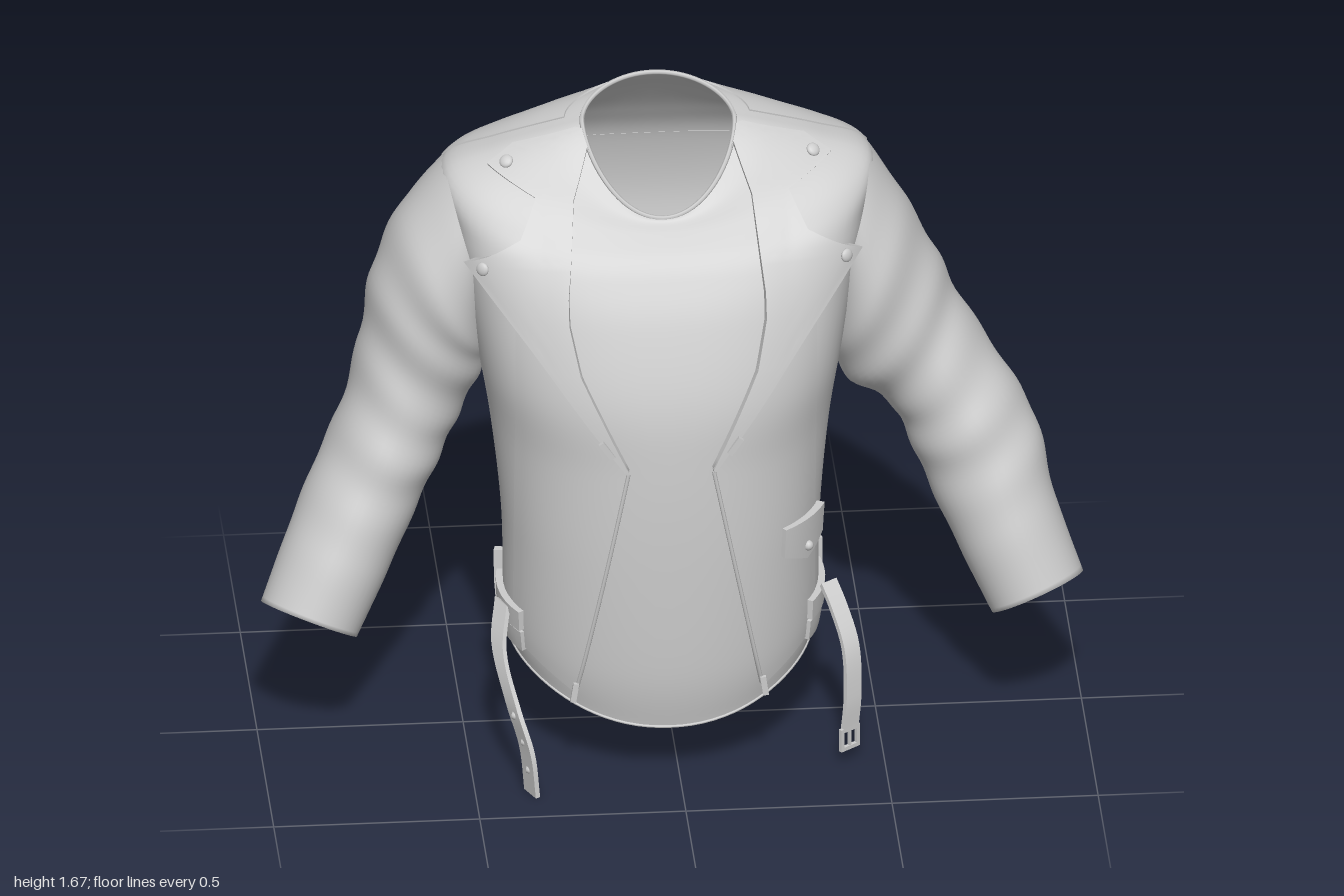
import * as THREE from 'three';
import { mergeVertices, toCreasedNormals } from 'three/addons/utils/BufferGeometryUtils.js';

const V = (x, y, z) => new THREE.Vector3(x, y, z);
const mat = new THREE.MeshStandardMaterial({ color: 0xcccccc, side: THREE.DoubleSide });
const CX = -0.025; // the garment hangs slightly off the centre line

function add(parent, name, geo) {
  const m = new THREE.Mesh(geo, mat);
  m.name = name;
  parent.add(m);
  return m;
}

// Surface from a rule giving a point for every (i, j)
function grid(nu, nv, fn, crease = 0) {
  const pos = [], idx = [];
  for (let j = 0; j <= nv; j++) for (let i = 0; i <= nu; i++) pos.push(...fn(i, j).toArray());
  for (let j = 0; j < nv; j++) for (let i = 0; i < nu; i++) {
    const a = j * (nu + 1) + i, b = a + 1, c = a + nu + 1, d = c + 1;
    idx.push(a, b, d, a, d, c);
  }
  let g = new THREE.BufferGeometry();
  g.setAttribute('position', new THREE.Float32BufferAttribute(pos, 3));
  g.setIndex(idx);
  g = mergeVertices(g, 1e-5);
  if (crease) return toCreasedNormals(g, crease);
  g.computeVertexNormals();
  return g;
}

// Smooth interpolation between rows of a table, t in 0..1
function rowAt(rows, t) {
  const f = Math.min(Math.max(t, 0), 1) * (rows.length - 1);
  const k = Math.min(Math.floor(f), rows.length - 2), s = f - k;
  const p0 = rows[Math.max(k - 1, 0)], p1 = rows[k], p2 = rows[k + 1], p3 = rows[Math.min(k + 2, rows.length - 1)];
  return p1.map((b, n) => {
    const a = p0[n], c = p2[n], d = p3[n];
    return b + 0.5 * s * (c - a + s * (2 * a - 5 * b + 4 * c - d + s * (3 * (b - c) + d - a)));
  });
}

// Torso rings from hem to neck: side y, front y, back y, half width, front z, back z, squareness
const TORSO = [
  [0.27, 0.15, 0.20, 0.365, 0.335, -0.255, 2.1],
  [0.36, 0.30, 0.33, 0.38, 0.36, -0.265, 2.1],
  [0.60, 0.60, 0.60, 0.385, 0.37, -0.28, 2.2],
  [0.85, 0.85, 0.85, 0.41, 0.365, -0.332, 2.2],
  [1.03, 1.02, 1.03, 0.44, 0.345, -0.377, 2.5],
  [1.22, 1.20, 1.22, 0.475, 0.285, -0.405, 2.7],
  [1.38, 1.31, 1.39, 0.505, 0.23, -0.38, 2.7],
  [1.495, 1.37, 1.49, 0.52, 0.19, -0.328, 2.2],
  [1.555, 1.41, 1.585, 0.4, 0.165, -0.255, 2],
  [1.60, 1.435, 1.64, 0.27, 0.15, -0.205, 2],
  [1.625, 1.44, 1.67, 0.185, 0.14, -0.18, 2],
];
const spow = (v, e) => Math.sign(v) * Math.abs(v) ** e;

// Angle 0 faces the front, a quarter turn faces +x; the upper back runs to a ridge at the spine
function torso(t, a) {
  const [ys, yf, yb, w, zf, zb, n] = rowAt(TORSO, t), c = Math.cos(a);
  const ridge = c > 0 ? 0 : Math.sin(Math.PI * t) ** 2, m = n + 0.4 * ridge;
  const depth = THREE.MathUtils.lerp(spow(c, 2 / m), spow(c, 2), 0.25 * ridge);
  return V(w * spow(Math.sin(a), 2 / m), ys + ((c > 0 ? yf : yb) - ys) * Math.abs(c) ** (2 - 0.6 * t),
    (zf + zb) / 2 + (zf - zb) / 2 * depth);
}

// Point on the torso at height y, lifted along the normal; angle is a function of t
function onTorso(angle, y, lift) {
  let lo = 0, hi = 0.999;
  for (let k = 0; k < 30; k++) {
    const t = (lo + hi) / 2;
    if (torso(t, angle(t)).y < y) lo = t; else hi = t;
  }
  const t = Math.min(Math.max(lo, 0.002), 0.998), a = angle(t), e = 0.002;
  const du = torso(t, a + e).sub(torso(t, a - e)), dv = torso(t + e, a).sub(torso(t - e, a));
  return torso(t, a).addScaledVector(du.cross(dv).normalize(), lift);
}
const byX = x => t => {
  const r = rowAt(TORSO, t);
  return Math.sign(x) * Math.asin(Math.min(1, Math.abs(x) / r[3]) ** (r[6] / 2));
};
const byAngle = a => () => a;

// Raised cloth piece with turned-down borders; rule(u, v) gives [angle, y, lift]
const patch = (nu, nv, rule) => grid(nu + 2, nv + 2, (i, j) => {
  const u = Math.min(Math.max(i - 1, 0), nu) / nu, v = Math.min(Math.max(j - 1, 0), nv) / nv;
  const [a, y, lift] = rule(u, v);
  return onTorso(a, y, i < 1 || j < 1 || i > nu + 1 || j > nv + 1 ? -0.001 : lift);
}, 0.7);
const band = (a0, a1, y0, y1, lift, n = 4) =>
  patch(n, 4, (u, v) => [byAngle(a0 + (a1 - a0) * u), y0 + (y1 - y0) * v, lift]);

const tube = (pts, r, closed = false) =>
  new THREE.TubeGeometry(new THREE.CatmullRomCurve3(pts, closed), pts.length * 2, r, 6, closed);

// Piecewise linear lookup of x for a height y
function xAt(table, y) {
  let k = 0;
  while (k < table.length - 2 && y > table[k + 1][0]) k++;
  const [y0, x0] = table[k], [y1, x1] = table[k + 1];
  return x0 + (x1 - x0) * THREE.MathUtils.clamp((y - y0) / (y1 - y0), 0, 1);
}
const OPENING = [[0.24, 0.22], [0.87, 0.1], [1.1, 0.21], [1.24, 0.24], [1.48, 0.215], [1.6, 0.17]];
const LAPEL = [[0.87, 0.11], [1.335, 0.455], [1.395, 0.345], [1.48, 0.305], [1.53, 0.415], [1.57, 0.35], [1.615, 0.2]];

// Sleeve rings: outer x, y, inner x, y, centre z, half depth
const SLEEVES = {
  left: [
    [0.49, 1.5, 0.39, 1.14, -0.08, 0.18], [0.575, 1.36, 0.39, 1.0, -0.08, 0.203], [0.655, 1.2, 0.43, 0.89, -0.085, 0.19],
    [0.72, 1.06, 0.53, 0.82, -0.08, 0.175], [0.82, 0.9, 0.58, 0.73, -0.05, 0.172], [0.895, 0.76, 0.63, 0.61, -0.015, 0.162],
    [0.93, 0.6, 0.7, 0.46, 0.045, 0.145], [0.995, 0.41, 0.775, 0.31, 0.105, 0.118]],
  right: [
    [0.54, 1.5, 0.44, 1.14, -0.08, 0.18], [0.65, 1.36, 0.44, 1.03, -0.08, 0.203], [0.715, 1.2, 0.45, 0.95, -0.085, 0.19],
    [0.745, 1.03, 0.5, 0.84, -0.08, 0.175], [0.79, 0.86, 0.55, 0.74, -0.05, 0.172], [0.86, 0.71, 0.61, 0.62, -0.015, 0.162],
    [0.93, 0.56, 0.69, 0.46, 0.045, 0.145], [0.995, 0.41, 0.77, 0.31, 0.105, 0.118]],
};
function sleeve(rows, s) {
  const N = 60;
  return grid(40, N + 4, (i, j) => {
    // the last rows fold the cuff inward, and the cuff tips to face forward
    const t = j <= N ? j / N : 1 - Math.max(0, j - N - 1) * 0.05, k = j <= N ? 1 : 0.92;
    const [ox, oy, ix, iy, zc, zh] = rowAt(rows, t), p = (i % 40) / 40 * Math.PI * 2;
    const fold = 0.024 * Math.max(0, Math.sin(Math.PI * Math.min(1, t * 1.08)));
    const r = k * (1 + fold * Math.sin(t * 42 + 2.2 * Math.sin(p) + 1.2 * Math.cos(2 * p)));
    const c = Math.cos(p) * r / 2, tip = 0.045 * t ** 3 * Math.sin(p) * r;
    return V(s * ((ox + ix) / 2 + (ox - ix) * c - 0.45 * tip), (oy + iy) / 2 + (oy - iy) * c + 0.9 * tip,
      zc + zh * Math.sin(p) * r);
  });
}

// Flat strap swept along a path, w is its half-width direction
function strap(pts, w, thick) {
  const curve = new THREE.CatmullRomCurve3(pts), N = 24;
  return grid(4, N + 2, (i, j) => {
    const t = THREE.MathUtils.clamp((j - 1) / N, 0, 1), k = j < 1 || j > N + 1 ? 0 : 1;
    const n = curve.getTangent(t).cross(w).normalize().multiplyScalar(thick / 2);
    const sw = [1, -1, -1, 1, 1][i] * k, sn = [1, 1, -1, -1, 1][i] * k;
    return curve.getPoint(t).addScaledVector(w, sw).addScaledVector(n, sn);
  }, 0.6);
}

export function createModel() {
  const model = new THREE.Group();
  model.name = 'jacket';
  const body = new THREE.Group();
  body.name = 'body';
  body.position.x = CX;
  model.add(body);

  // Body shell with rolled hem and neck edge
  add(body, 'torso', grid(72, 80, (i, j) => torso(j / 80, (i % 72) / 72 * Math.PI * 2 + Math.PI)));
  const ring = t => Array.from({ length: 40 }, (_, i) => torso(t, i / 40 * Math.PI * 2));
  add(body, 'hemEdge', tube(ring(0), 0.004, true));
  add(body, 'neckEdge', tube(ring(1), 0.006, true));

  for (const s of [1, -1]) {
    const side = s > 0 ? 'left' : 'right';
    // Front panel fading out toward the side seam
    add(body, side + 'FrontPanel', patch(14, 40, (u, v) => {
      const y = THREE.MathUtils.lerp(0.24 + 0.08 * u, 1.25, v), x0 = xAt(OPENING, y);
      return [byX(s * (x0 + (0.365 - x0) * u)), y, 0.014 * (1 - u) + 0.001];
    }));
    // Lapel and collar in one piece, with the notch between their tips
    add(body, side + 'Lapel', patch(12, 48, (u, v) => {
      const f = v * 6, k = Math.min(5, Math.floor(f)), y = THREE.MathUtils.lerp(LAPEL[k][0], LAPEL[k + 1][0], f - k);
      const x0 = xAt(OPENING, y), x = x0 + (xAt(LAPEL, y) - x0) * u;
      const flat = THREE.MathUtils.smoothstep(y, 1.36, 1.5);
      return [byX(s * x), y, (0.021 + 0.1 * Math.max(0, x - 0.3)) * (1 - flat) + 0.011 * flat];
    }));
    // Zip edge and pulls
    const zip = Array.from({ length: 10 }, (_, i) => 0.25 + i * 0.068).map(y => onTorso(byX(s * xAt(OPENING, y)), y, 0.014));
    add(body, side + 'ZipEdge', tube(zip, 0.005));
    for (const [x, y] of [[0.217, 0.25], [0.15, 0.93]]) {
      const pull = add(body, side + 'ZipPull', new THREE.BoxGeometry(0.014, 0.05, 0.01));
      pull.position.copy(onTorso(byX(s * x), y, 0.026));
      pull.rotation.z = y > 0.5 ? -s * 0.6 : s * 0.15;
    }
    // Snap buttons on the lapel and collar tips
    for (const [x, y, lift] of [[0.42, 1.33, 0.036], [0.368, 1.54, 0.014]]) {
      const snap = add(body, side + 'Snap', new THREE.SphereGeometry(0.017, 14, 10).scale(1, 1, 0.5));
      snap.position.copy(onTorso(byX(s * x), y, lift));
      snap.lookAt(onTorso(byX(s * x), y, lift + 1));
    }
    // Belt loops
    for (const a of [0.8, 1.35])
      add(body, side + 'BeltLoop', band(Math.PI - s * a - 0.03, Math.PI - s * a + 0.03, 0.285, 0.46, a > 1 ? 0.024 : 0.03));
    add(model, side + 'Sleeve', sleeve(SLEEVES[side], s));
  }

  // Back yoke, belt and lumbar pad
  add(body, 'backYoke', patch(40, 10, (u, v) => {
    const a = 1.8 + (2 * Math.PI - 3.6) * u;
    return [byAngle(a), THREE.MathUtils.lerp(1.4, 1.615 + 0.045 * Math.cos(a) ** 2, v), 0.004];
  }));
  add(body, 'lowerBelt', band(1.1, 2 * Math.PI - 1.1, 0.3, 0.352, 0.013, 60));
  add(body, 'upperBelt', band(1.1, 2 * Math.PI - 1.1, 0.358, 0.41, 0.017, 60));
  add(body, 'lumbarPad', patch(20, 8, (u, v) => {
    const e = Math.abs(2 * u - 1);
    return [byAngle(Math.PI + (u - 0.5) * 1.1), 0.27 + 0.21 * v + 0.02 * e, (0.05 - 0.025 * v) * (1 - 0.35 * e * e)];
  }));

  // Pocket flap with its button
  add(body, 'pocketFlap', patch(12, 6, (u, v) =>
    [byAngle(0.74 + 0.5 * u), THREE.MathUtils.lerp(0.585 - 0.035 * (1 - Math.abs(2 * u - 1)), 0.66, v), 0.02]));
  add(body, 'pocketButton', new THREE.SphereGeometry(0.013, 12, 8)).position.copy(onTorso(byAngle(0.99), 0.585, 0.02));

  // Loose belt end with eyelets
  const endPath = [V(-0.415, 0.4, 0.13), V(-0.43, 0.32, 0.21), V(-0.405, 0.22, 0.33), V(-0.375, 0.12, 0.372), V(-0.363, 0.005, 0.378)];
  add(model, 'beltEnd', strap(endPath, V(0.012, 0, 0.026), 0.012));
  for (const [x, y, z] of [[-0.368, 0.07, 0.378], [-0.379, 0.14, 0.366], [-0.4, 0.2, 0.342]]) {
    const eyelet = add(model, 'eyelet', new THREE.TorusGeometry(0.008, 0.003, 6, 14).scale(1, 1, 3));
    eyelet.position.set(x, y, z);
    eyelet.rotation.y = Math.PI / 2 - 0.4;
  }

  // Buckle strap and buckle
  const bucklePath = [V(0.375, 0.42, 0.13), V(0.395, 0.38, 0.18), V(0.42, 0.3, 0.24), V(0.423, 0.18, 0.268), V(0.415, 0.09, 0.275)];
  add(model, 'buckleStrap', strap(bucklePath, V(0.019, 0, -0.014), 0.012));
  const square = (h, turn) => [[-h, -h], [h * turn, -h * turn], [h, h], [-h * turn, h * turn]].map(p => new THREE.Vector2(...p));
  const frame = new THREE.Shape(square(0.03, 1));
  frame.holes.push(new THREE.Path(square(0.02, -1)));
  const buckle = new THREE.Group();
  buckle.name = 'buckle';
  add(buckle, 'buckleFrame', new THREE.ExtrudeGeometry(frame, { depth: 0.01, bevelEnabled: false }).translate(0, 0, -0.005));
  add(buckle, 'bucklePin', new THREE.BoxGeometry(0.006, 0.055, 0.008));
  buckle.position.set(0.415, 0.07, 0.276);
  buckle.rotation.y = 0.65;
  model.add(buckle);
  return model;
}
